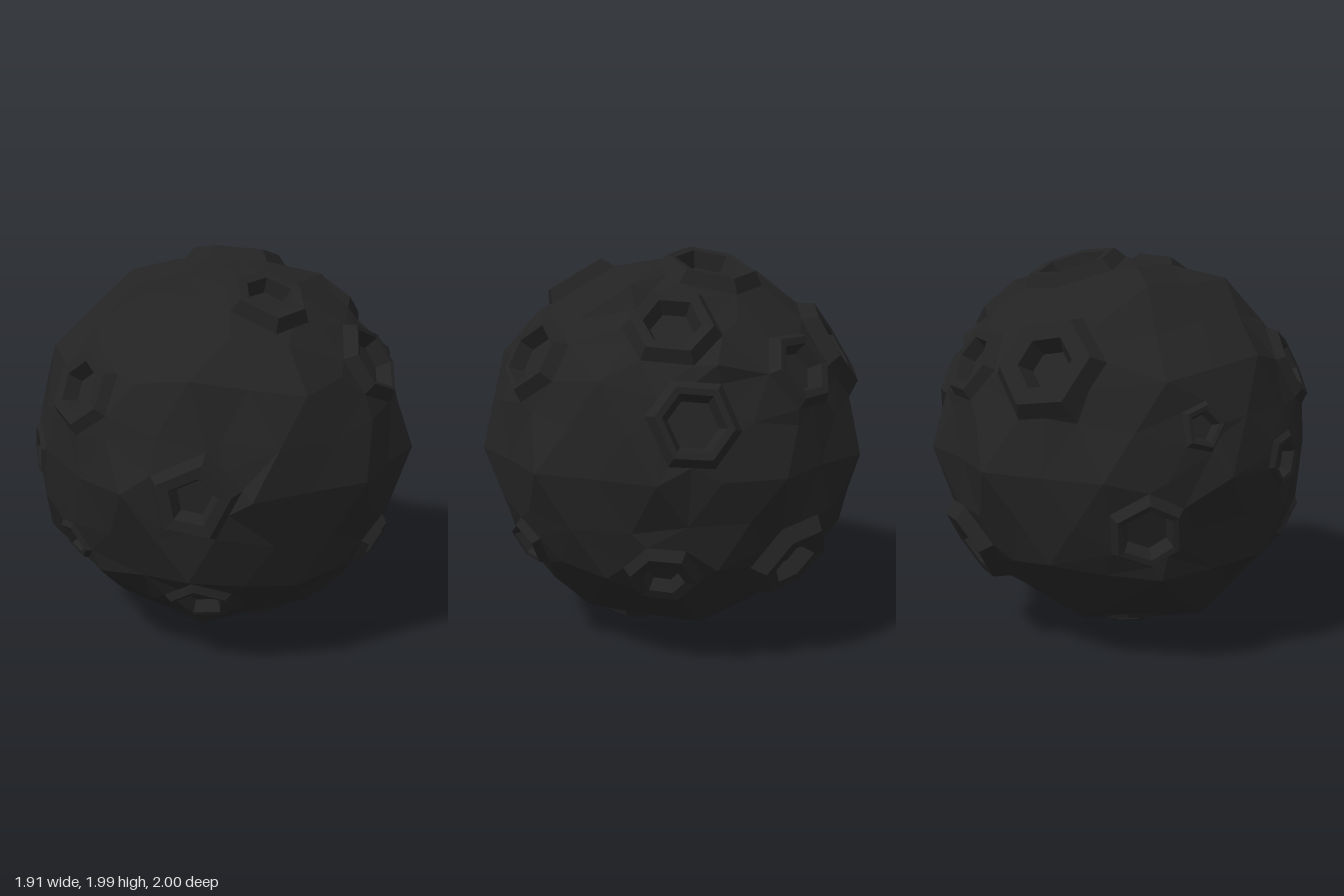
import * as THREE from 'three';
import { ConvexGeometry } from 'three/addons/geometries/ConvexGeometry.js';

// Small seeded generator for the rocky unevenness
function makeRandom(seed) {
  return () => {
    seed = (seed * 16807) % 2147483647;
    return seed / 2147483647;
  };
}

// Craters: direction from the centre, outer radius, pit size (share of radius), sides, rim height
const CRATERS = [
  // front
  [[-0.27, 0.0, 0.96], 0.2, 0.5, 5, 0.99],
  [[-0.2, -0.64, 0.7], 0.16, 0.65, 5, 0.96],
  [[0.17, 0.84, 0.47], 0.19, 0.55, 6, 0.985],
  [[0.68, 0.5, 0.45], 0.2, 0.7, 6, 0.98],
  [[-0.74, 0.42, 0.45], 0.2, 0.55, 6, 0.965],
  [[0.74, -0.45, 0.52], 0.13, 0.65, 5, 0.975],
  [[-0.82, -0.4, 0.4], 0.11, 0.6, 5, 0.96],
  // +x side
  [[0.62, 0.7, -0.25], 0.21, 0.55, 6, 0.975],
  [[0.8, 0.27, -0.43], 0.2, 0.65, 6, 0.975],
  [[0.78, -0.49, -0.27], 0.17, 0.5, 6, 0.975],
  // back
  [[0.33, -0.46, -0.75], 0.22, 0.5, 6, 0.985],
  [[0.3, 0.48, -0.8], 0.19, 0.6, 6, 0.97],
  [[-0.22, 0.51, -0.79], 0.25, 0.45, 6, 0.98],
  // top and bottom
  [[0.12, 0.92, -0.25], 0.24, 0.65, 6, 0.97],
  [[0.21, -0.91, 0.17], 0.12, 0.6, 6, 0.965],
  [[-0.29, -0.86, -0.29], 0.11, 0.65, 5, 0.955],
  // -x side
  [[-0.81, 0.23, -0.38], 0.11, 0.6, 5, 0.965],
  [[-0.92, 0.01, 0.11], 0.13, 0.6, 6, 0.955],
  [[-0.7, -0.26, -0.62], 0.18, 0.65, 6, 0.97],
];
const FOOT = 1.12;

// Concentric rings of one crater: foot, raised rim, rim lip, pit floor
function craterRings([dir, radius, pit, sides, rim], random) {
  const axis = new THREE.Vector3(...dir).normalize();
  const u = new THREE.Vector3(0, 1, 0).cross(axis).normalize();
  const v = axis.clone().cross(u);
  const turn = random() * Math.PI;
  const angles = [];
  for (let i = 0; i < sides; i++) {
    angles.push(turn + ((i + 0.2 * (random() - 0.5)) / sides) * Math.PI * 2);
  }
  const ring = (r, height) => angles.map((a) =>
    axis.clone().multiplyScalar(height)
      .addScaledVector(u, r * Math.cos(a))
      .addScaledVector(v, r * Math.sin(a)));
  const footRadius = radius * FOOT;
  return [
    ring(footRadius, Math.sqrt(0.945 ** 2 - footRadius ** 2)),
    ring(radius * 0.92, rim),
    ring(radius * (pit + 0.1), rim - 0.005),
    ring(radius * (pit - 0.06), rim - 0.025 - radius * 0.25),
  ];
}

function facetedGeometry(corners) {
  const geometry = new THREE.BufferGeometry().setFromPoints(corners);
  geometry.computeVertexNormals();
  return geometry;
}

// Walls between the rings and a flat pit floor
function craterGeometry(rings) {
  const corners = [];
  const sides = rings[0].length;
  for (let i = 0; i < sides; i++) {
    const j = (i + 1) % sides;
    for (let k = 0; k < rings.length - 1; k++) {
      const [outer, inner] = [rings[k], rings[k + 1]];
      corners.push(outer[i], outer[j], inner[j], outer[i], inner[j], inner[i]);
    }
    const floor = rings[rings.length - 1];
    if (i > 0 && j > 0) corners.push(floor[0], floor[i], floor[j]);
  }
  return facetedGeometry(corners);
}

// Coarse sphere with poles up and down; its edges are split flat and roughened
function groundPoints(random) {
  const sphere = new THREE.IcosahedronGeometry(1, 1);
  sphere.rotateX(-Math.atan((1 + Math.sqrt(5)) / 2));
  sphere.rotateY(Math.PI / 2);
  const source = sphere.attributes.position;
  const seen = new Set();
  const points = [];
  const add = (p, dent) => {
    const key = p.toArray().map((c) => Math.round(c * 1000) + 0).join();
    if (seen.has(key)) return;
    seen.add(key);
    const exact = Math.max(Math.abs(p.y), Math.abs(p.z)) > 0.999;
    const covered = CRATERS.some(([dir, r]) =>
      p.angleTo(new THREE.Vector3(...dir)) < r * FOOT + 0.05);
    if (!covered) points.push(p.multiplyScalar(exact ? 1 : 1 - dent * random()));
  };
  for (let i = 0; i < source.count; i += 3) {
    const corners = [0, 1, 2].map((k) => new THREE.Vector3().fromBufferAttribute(source, i + k));
    const middles = corners.map((p, k) => p.clone().lerp(corners[(k + 1) % 3], 0.5));
    corners.forEach((p) => add(p, 0.03));
    middles.forEach((p) => add(p, 0.035));
  }
  return points;
}

// Ground between the craters: join all points on the unit sphere, open the
// crater holes, then move each corner to its own height
function groundGeometry(feet, random) {
  const nodes = groundPoints(random).map((point) => ({ point, owner: -1 }));
  feet.forEach((foot, owner) => foot.forEach((point, i) => {
    const middle = point.clone().lerp(foot[(i + 1) % foot.length], 0.5);
    nodes.push({ point, owner }, { point: middle, owner });
  }));
  for (const node of nodes) node.direction = node.point.clone().normalize();

  const position = new ConvexGeometry(nodes.map((n) => n.direction)).attributes.position;
  const nearestNode = (i) => {
    const p = new THREE.Vector3().fromBufferAttribute(position, i);
    return nodes.reduce((a, b) =>
      (b.direction.distanceToSquared(p) < a.direction.distanceToSquared(p) ? b : a));
  };
  const corners = [];
  for (let i = 0; i < position.count; i += 3) {
    const [a, b, c] = [0, 1, 2].map((k) => nearestNode(i + k));
    const insideCrater = a.owner >= 0 && a.owner === b.owner && b.owner === c.owner;
    if (!insideCrater) corners.push(a.point, b.point, c.point);
  }
  return facetedGeometry(corners);
}

export function createModel() {
  const group = new THREE.Group();
  group.name = 'asteroid';
  const material = new THREE.MeshStandardMaterial({ color: 0x232323, flatShading: true });
  const addPart = (name, geometry) => {
    const mesh = new THREE.Mesh(geometry, material);
    mesh.name = name;
    mesh.position.y = 1;
    group.add(mesh);
  };

  const random = makeRandom(4127);
  const craters = CRATERS.map((crater) => craterRings(crater, random));
  addPart('ground', groundGeometry(craters.map((rings) => rings[0]), random));
  craters.forEach((rings) => addPart('crater', craterGeometry(rings)));
  return group;
}
